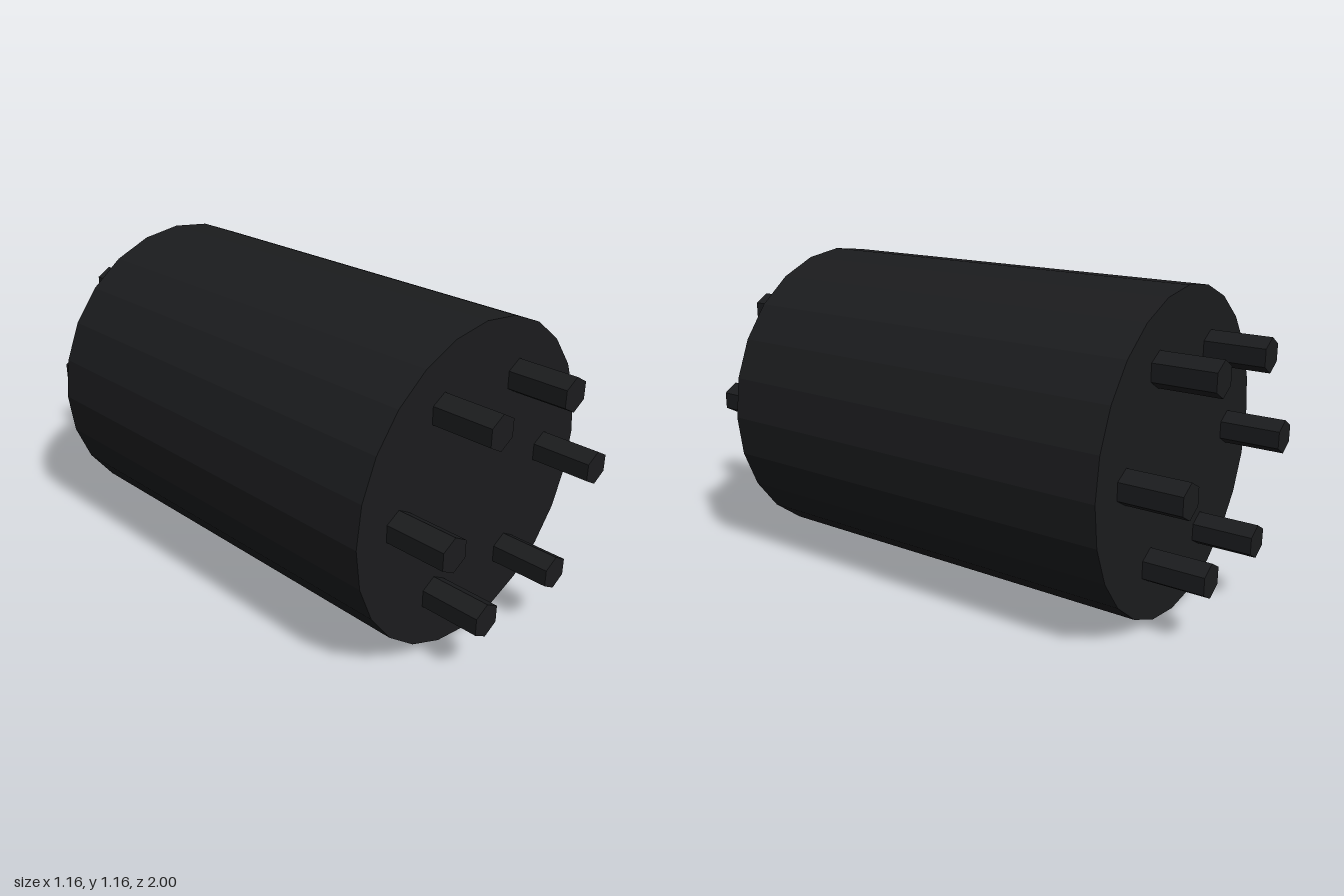
import * as THREE from 'three';

const BODY_RADIUS = 0.578, BODY_HALF = 0.78;
const PIN_RADIUS = 0.062, PIN_CIRCLE = 0.388, PIN_LENGTH = 0.22;

// Cylinder lying along z, with a corner pointing straight down
function cylinderZ(radius, length, sides) {
  return new THREE.CylinderGeometry(radius, radius, length, sides).rotateX(Math.PI / 2);
}

export function createModel() {
  const model = new THREE.Group();
  model.name = 'pinnedCylinder';
  const material = new THREE.MeshStandardMaterial({ color: 0x1b1c1e, flatShading: true });

  // Main drum
  const body = new THREE.Mesh(cylinderZ(BODY_RADIUS, BODY_HALF * 2, 24), material);
  body.name = 'body';
  body.position.y = BODY_RADIUS;
  model.add(body);

  // Ring of six hexagonal pins on each end
  const pinGeometry = cylinderZ(PIN_RADIUS, PIN_LENGTH, 6);
  for (const [side, name] of [[1, 'front'], [-1, 'back']]) {
    const ring = new THREE.Group();
    ring.name = name + 'Pins';
    ring.position.set(0, BODY_RADIUS, side * (BODY_HALF + PIN_LENGTH / 2));
    for (let i = 0; i < 6; i++) {
      const angle = (i * Math.PI) / 3;
      const pin = new THREE.Mesh(pinGeometry, material);
      pin.name = `${name}Pin${i + 1}`;
      pin.position.set(PIN_CIRCLE * Math.cos(angle), PIN_CIRCLE * Math.sin(angle), 0);
      ring.add(pin);
    }
    model.add(ring);
  }
  return model;
}
